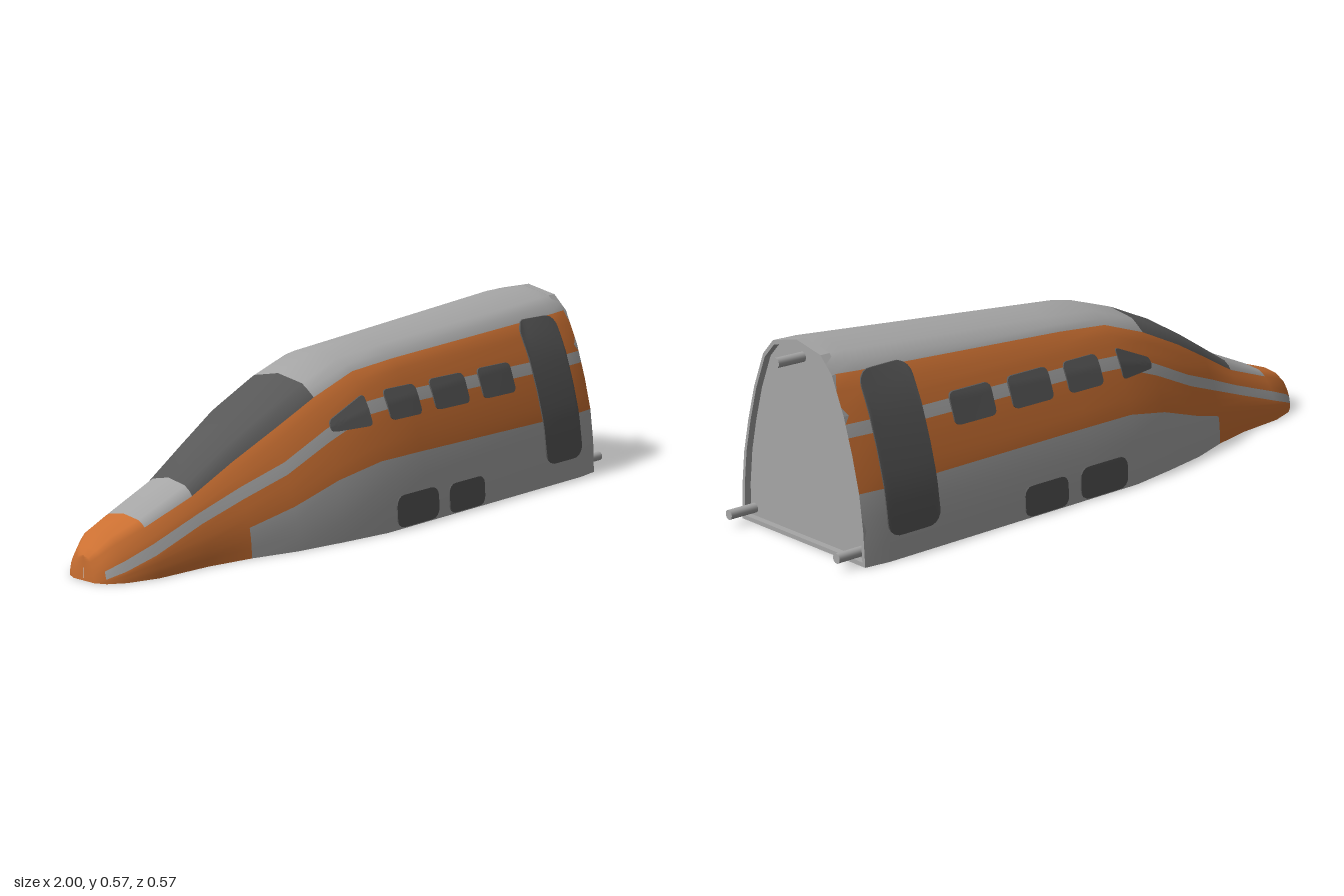
import * as THREE from 'three';
import { toCreasedNormals } from 'three/addons/utils/BufferGeometryUtils.js';

const mat = (name, color) => {
  const m = new THREE.MeshStandardMaterial({ color });
  m.name = name;
  return m;
};

// Stations: x, half width, height, then lower band, stripe bottom, stripe top and roof edge heights
const STATIONS = [
  [-1, 0.04, 0.07, 0.004, 0.008, 0.02, 0.055],
  [-0.985, 0.072, 0.09, 0.008, 0.012, 0.034, 0.072],
  [-0.94, 0.105, 0.125, 0.02, 0.03, 0.056, 0.1],
  [-0.85, 0.135, 0.155, 0.04, 0.06, 0.088, 0.13],
  [-0.68, 0.15, 0.225, 0.06, 0.115, 0.143, 0.187],
  [-0.54, 0.18, 0.31, 0.085, 0.163, 0.195, 0.26],
  [-0.4, 0.225, 0.385, 0.125, 0.212, 0.245, 0.33],
  [-0.24, 0.255, 0.452, 0.175, 0.28, 0.315, 0.4],
  [-0.08, 0.28, 0.5, 0.205, 0.335, 0.37, 0.452],
  [0.1, 0.28, 0.514, 0.205, 0.343, 0.378, 0.465],
  [0.85, 0.28, 0.57, 0.2, 0.345, 0.38, 0.502],
  [0.93, 0.27, 0.572, 0.2, 0.345, 0.38, 0.505],
];
// Arch profile: height fraction, width fraction
const ARCH = [[0, 1], [0.175, 0.98], [0.35, 0.93], [0.52, 0.84], [0.7, 0.72], [0.88, 0.55], [0.96, 0.38], [1, 0]];

function lookup(table, t, k) {
  let i = 0;
  while (i < table.length - 2 && t > table[i + 1][0]) i++;
  const a = table[i], b = table[i + 1];
  return THREE.MathUtils.lerp(a[k], b[k], THREE.MathUtils.clamp((t - a[0]) / (b[0] - a[0]), 0, 1));
}
const halfWidth = (x, y) => lookup(STATIONS, x, 1) * lookup(ARCH, y / lookup(STATIONS, x, 2), 1);

function makeGeometry(positions, index) {
  const g = new THREE.BufferGeometry();
  g.setAttribute('position', new THREE.Float32BufferAttribute(positions, 3));
  g.setIndex(index);
  return g;
}

// Join per-material index lists into one index with groups
function groupedGeometry(positions, lists) {
  const g = makeGeometry(positions, lists.flat());
  let start = 0;
  lists.forEach((l, m) => {
    g.addGroup(start, l.length, m);
    start += l.length;
  });
  g.computeVertexNormals();
  return g;
}

// Smooth outer skin; materials 0 shell, 1 orange, 2 dark
function skinGeometry() {
  const splits = [3, 3, 1, 3, 3];
  const positions = [], lists = [[], [], []];
  let bandOf;
  const stations = [[-1, 0.0005, ...STATIONS[0].slice(2)], ...STATIONS];
  stations.forEach(([x, w, top, ...edges]) => {
    const bounds = [0, ...edges, top], half = [];
    bandOf = [];
    splits.forEach((n, b) => {
      for (let k = 0; k < n; k++) {
        half.push(THREE.MathUtils.lerp(bounds[b], bounds[b + 1], k / n));
        bandOf.push(b);
      }
    });
    const put = (y, s) => positions.push(x, y, s * w * lookup(ARCH, y / top, 1));
    half.forEach((y) => put(y, 1));
    put(top, 0);
    half.slice().reverse().forEach((y) => put(y, -1));
  });
  const bands = [...bandOf, ...bandOf.slice().reverse()], row = bands.length + 1;
  for (let i = 0; i < stations.length - 1; i++) {
    const x = (stations[i][0] + stations[i + 1][0]) / 2;
    bands.forEach((b, j) => {
      let m = 1;
      if (b === 0) m = x < -0.54 ? 1 : 0;
      if (b === 2) m = x < -0.99 ? 1 : 0;
      if (b === 4) m = x < -0.85 ? 1 : x > -0.68 && x < -0.24 ? 2 : 0;
      const a = i * row + j, c = a + row;
      lists[m].push(a, c, c + 1, a, c + 1, a + 1);
    });
  }
  return groupedGeometry(positions, lists);
}

// Flat underside with one orange strip
function floorGeometry() {
  const positions = [], lists = [[], []];
  STATIONS.forEach(([x, w], i) => {
    positions.push(x, 0, w, x, 0, -w);
    if (i === STATIONS.length - 1) return;
    const a = i * 2, m = x >= -0.7 && x < -0.6 ? 1 : 0;
    lists[m].push(a, a + 1, a + 3, a, a + 3, a + 2);
  });
  return groupedGeometry(positions, lists);
}

// Rounded thin plate that follows the skin; side is 1 or -1
function plateGeometry([x0, x1, y0, yl, yr, r], side) {
  const nx = 14, ny = 10, lift = 0.004, positions = [], index = [];
  for (let i = -1; i <= nx + 1; i++) {
    const u = THREE.MathUtils.clamp(i, 0, nx) / nx;
    const t = (1 - Math.cos(u * Math.PI)) / 2;
    const x = THREE.MathUtils.lerp(x0, x1, t);
    const d = Math.max(0, r - Math.min(x - x0, x1 - x));
    const cut = r - Math.sqrt(Math.max(0, r * r - d * d));
    for (let j = -1; j <= ny + 1; j++) {
      const v = THREE.MathUtils.clamp(j, 0, ny) / ny;
      const y = THREE.MathUtils.lerp(y0 + cut, THREE.MathUtils.lerp(yl, yr, t) - cut, v);
      const edge = i < 0 || j < 0 || i > nx || j > ny;
      positions.push(x, y, side * (halfWidth(x, y) + (edge ? -lift : lift)));
    }
  }
  const row = ny + 3;
  for (let i = 0; i < nx + 2; i++) {
    for (let j = 0; j < ny + 2; j++) {
      const a = i * row + j, b = a + row;
      if (side > 0) index.push(a, b, b + 1, a, b + 1, a + 1);
      else index.push(a, b + 1, b, a, a + 1, b + 1);
    }
  }
  return toCreasedNormals(makeGeometry(positions, index), 0.6);
}

// Outline of the rear end, inset by a margin
function archPoints(inset) {
  const w = 0.27 - inset, h = 0.572 - 2 * inset;
  const half = ARCH.map(([y, z]) => new THREE.Vector2(z * w, inset + y * h));
  const other = half.slice(0, -1).reverse().map((p) => new THREE.Vector2(-p.x, p.y));
  return [...half, ...other];
}

export function createModel() {
  const model = new THREE.Group();
  const shell = mat('shell grey', 0xa6a6a6);
  const orange = mat('orange paint', 0xcb7032);
  const dark = mat('dark glass', 0x585858);
  const add = (name, geometry, material) => {
    const m = new THREE.Mesh(geometry, material);
    m.name = name;
    model.add(m);
    return m;
  };

  add('bodySkin', skinGeometry(), [shell, orange, dark]);
  add('underside', floorGeometry(), [shell, orange]);

  // Rear rim and recessed bulkhead
  const rim = new THREE.Shape(archPoints(0));
  rim.holes.push(new THREE.Path(archPoints(0.012)));
  const rimGeometry = new THREE.ExtrudeGeometry(rim, { depth: 0.03, bevelEnabled: false });
  add('rearRim', rimGeometry.rotateY(Math.PI / 2), shell).position.x = 0.9;
  const panel = new THREE.ShapeGeometry(new THREE.Shape(archPoints(0.011)));
  add('rearBulkhead', panel.rotateY(Math.PI / 2), shell).position.x = 0.91;

  // Coupling pegs
  [[0.52, 0], [0.035, 0.237], [0.035, -0.237]].forEach(([y, z]) => {
    const peg = new THREE.CylinderGeometry(0.014, 0.014, 0.1, 20).rotateZ(Math.PI / 2);
    add('couplingPeg', peg, shell).position.set(0.95, y, z);
  });

  // Windows, doors and lower hatches: x0, x1, bottom, top at x0, top at x1, corner radius
  const plates = {
    cabWindow: [-0.225, -0.08, 0.305, 0.335, 0.393, 0.012],
    frontWindow: [0, 0.137, 0.307, 0.392, 0.392, 0.016],
    middleWindow: [0.2, 0.355, 0.307, 0.394, 0.394, 0.016],
    rearWindow: [0.42, 0.573, 0.307, 0.395, 0.395, 0.016],
    door: [0.672, 0.853, 0.066, 0.502, 0.502, 0.04],
    frontHatch: [-0.04, 0.147, 0.004, 0.098, 0.098, 0.03],
    rearHatch: [0.197, 0.362, 0.004, 0.092, 0.092, 0.025],
  };
  for (const [name, spec] of Object.entries(plates)) {
    for (const side of [1, -1]) add(name, plateGeometry(spec, side), dark);
  }
  return model;
}
